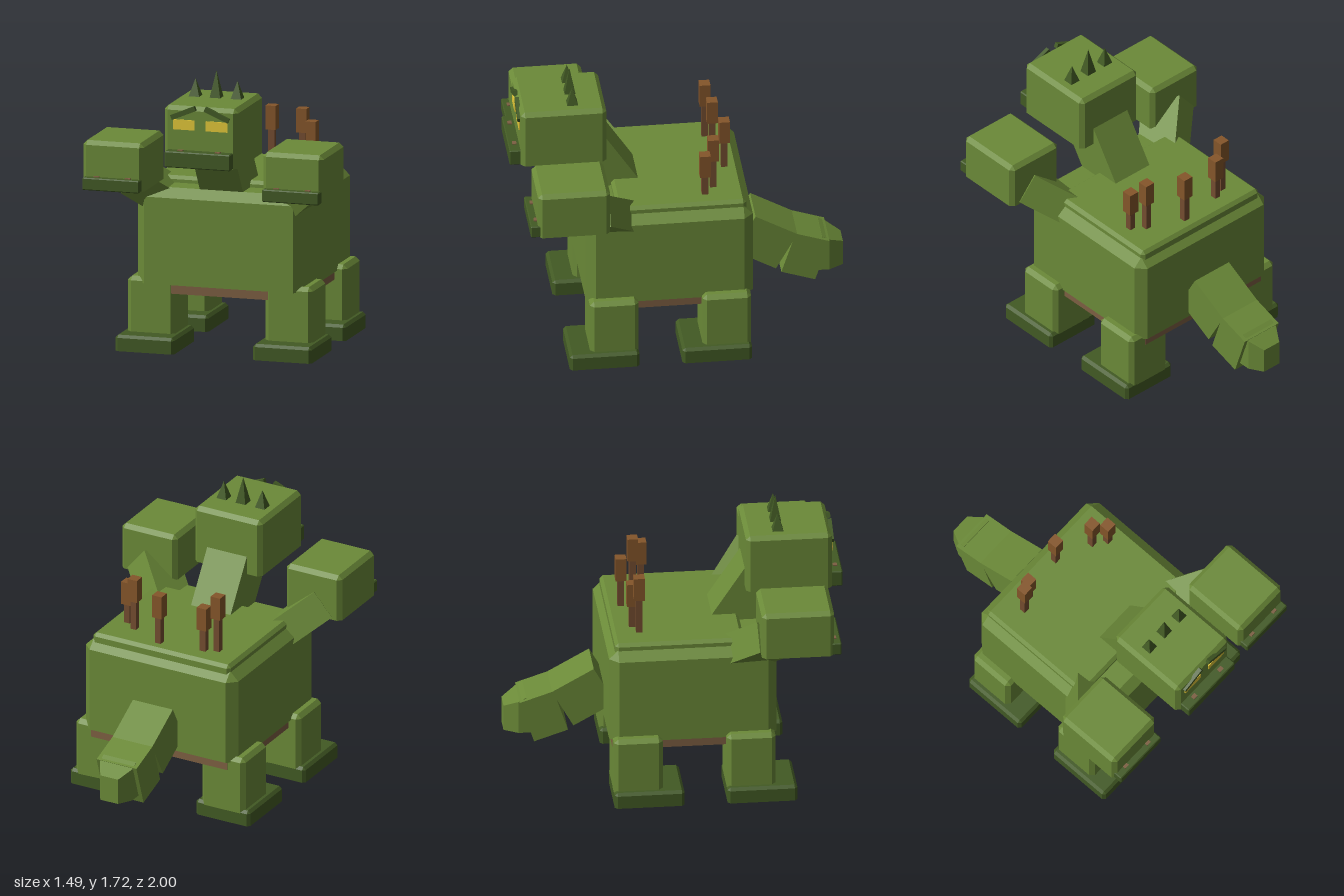
import * as THREE from 'three';
import { ConvexGeometry } from 'three/addons/geometries/ConvexGeometry.js';

const mat = (name, color) => {
  const m = new THREE.MeshStandardMaterial({ color });
  m.name = name;
  return m;
};

export function createModel() {
  const green = mat('skinGreen', 0x6b8a38);
  const dark = mat('darkGreen', 0x425a24);
  const yellow = mat('yellow', 0xe2c838);
  const wood = mat('wood', 0x85562a);
  const stick = mat('darkWood', 0x744d30);
  const bellyBrown = mat('bellyBrown', 0x7d5f42);

  const root = new THREE.Group();
  root.name = 'threeHeadedBeast';

  const add = (parent, name, geo, material, x = 0, y = 0, z = 0) => {
    const m = new THREE.Mesh(geo, material);
    m.name = name;
    m.position.set(x, y, z);
    parent.add(m);
    return m;
  };

  // Box given by its ranges
  const box = (parent, name, material, x0, x1, y0, y1, z0, z1) =>
    add(parent, name, new THREE.BoxGeometry(x1 - x0, y1 - y0, z1 - z0), material,
      (x0 + x1) / 2, (y0 + y1) / 2, (z0 + z1) / 2);

  // Box with chamfered edges; a flat base keeps its lower edges square
  const block = (parent, name, material, x0, x1, y0, y1, z0, z1, c, flatBase = false) => {
    const hx = (x1 - x0) / 2, hy = (y1 - y0) / 2, hz = (z1 - z0) / 2;
    const pts = [];
    for (const sx of [-1, 1]) for (const sy of [-1, 1]) for (const sz of [-1, 1]) {
      const side = flatBase && sy < 0 ? hy : hy - c;
      pts.push(new THREE.Vector3(sx * hx, sy * side, sz * (hz - c)));
      pts.push(new THREE.Vector3(sx * (hx - c), sy * side, sz * hz));
      if (!(flatBase && sy < 0)) pts.push(new THREE.Vector3(sx * (hx - c), sy * hy, sz * (hz - c)));
    }
    return add(parent, name, new ConvexGeometry(pts), material,
      (x0 + x1) / 2, (y0 + y1) / 2, (z0 + z1) / 2);
  };

  // Hollow rim with cut corners, standing on y0
  const rim = (parent, name, material, x0, x1, y0, y1, z0, z1, c, t) => {
    const outline = (w, d, k) => [
      [w - k, -d], [w, k - d], [w, d - k], [w - k, d],
      [k - w, d], [-w, d - k], [-w, k - d], [k - w, -d],
    ].map(([a, b]) => new THREE.Vector2(a, b));
    const w = (x1 - x0) / 2, d = (z1 - z0) / 2;
    const shape = new THREE.Shape(outline(w, d, c));
    shape.holes.push(new THREE.Path(outline(w - t, d - t, c).reverse()));
    const geo = new THREE.ExtrudeGeometry(shape, { depth: y1 - y0, bevelEnabled: false });
    geo.rotateX(-Math.PI / 2);
    return add(parent, name, geo, material, (x0 + x1) / 2, y0, (z0 + z1) / 2);
  };

  // Square beam between two points, its height pointing along up
  const beam = (name, a, b, up, w, h) => {
    const from = new THREE.Vector3(...a), to = new THREE.Vector3(...b);
    const m = add(root, name, new THREE.BoxGeometry(w, h, from.distanceTo(to)), green);
    m.position.copy(from).lerp(to, 0.5);
    m.up.set(...up);
    m.lookAt(to);
    return m;
  };

  // Body as a shell open below, raised back and belly frame
  rim(root, 'bodyWalls', green, -0.516, 0.516, 0.41, 0.9, -0.415, 0.58, 0.055, 0.02);
  block(root, 'bodyTop', green, -0.516, 0.516, 0.9, 0.99, -0.415, 0.58, 0.055, true);
  block(root, 'backPlate', green, -0.465, 0.465, 0.97, 1.03, -0.378, 0.39, 0.02, true);
  rim(root, 'bellyFrame', bellyBrown, -0.5, 0.5, 0.355, 0.411, -0.396, 0.562, 0.04, 0.02);

  // Legs with hollow-soled feet
  for (const s of [-1, 1]) for (const [front, z] of [[true, 0.275], [false, -0.395]]) {
    const leg = new THREE.Group();
    leg.name = (s > 0 ? 'left' : 'right') + (front ? 'FrontLeg' : 'RearLeg');
    root.add(leg);
    const cx = s * 0.426;
    block(leg, 'shin', green, cx - 0.147, cx + 0.147, 0.09, 0.445, z, z + 0.29, 0.025, true);
    rim(leg, 'footRim', dark, cx - 0.182, cx + 0.182, 0.015, 0.08, z, z + 0.415, 0.017, 0.035);
    rim(leg, 'soleLining', green, cx - 0.147, cx + 0.147, 0.02, 0.08, z + 0.035, z + 0.38, 0.017, 0.018);
    block(leg, 'footTop', dark, cx - 0.182, cx + 0.182, 0.08, 0.112, z, z + 0.415, 0.017, true);
  }

  // Heads: skull with hollow underside, jaw and nostrils
  const makeHead = (name, cx, hw, y0, y1, z0, z1, jawW, jawTop, jawZ, nostril) => {
    const head = new THREE.Group();
    head.name = name;
    root.add(head);
    block(head, 'skull', green, cx - hw, cx + hw, y0 + 0.05, y1, z0, z1, 0.025, true);
    rim(head, 'skullRim', green, cx - hw, cx + hw, y0, y0 + 0.05, z0, z1, 0.025, 0.03);
    box(head, 'mouthRoof', dark, cx - hw + 0.028, cx + hw - 0.028, y0 + 0.043, y0 + 0.051, z0 + 0.028, z1 - 0.028);
    block(head, 'jaw', dark, cx - jawW, cx + jawW, y0, jawTop, z1 - 0.02, jawZ, 0.006);
    for (const s of [-1, 1]) {
      const x = cx + s * nostril;
      box(head, 'nostril', bellyBrown, x - 0.016, x + 0.016, jawTop, jawTop + 0.006, jawZ - 0.05, jawZ - 0.025);
    }
    return head;
  };
  const mainHead = makeHead('middleHead', 0, 0.228, 1.215, 1.575, 0.425, 0.935, 0.203, 1.312, 1.0, 0.115);
  for (const s of [-1, 1]) {
    makeHead(s > 0 ? 'leftHead' : 'rightHead', s * 0.557, 0.188, 1.03, 1.32, 0.465, 0.895, 0.176, 1.105, 0.938, 0.097);
  }

  // Face and horns of the middle head
  box(mainHead, 'mouthStrip', yellow, -0.14, 0.14, 1.205, 1.214, 0.9, 0.93);
  for (const s of [-1, 1]) {
    box(mainHead, 'eye', yellow, s * 0.102 - 0.067, s * 0.102 + 0.067, 1.435, 1.495, 0.934, 0.942);
    const brow = add(mainHead, 'brow', new THREE.BoxGeometry(0.16, 0.03, 0.025), dark, s * 0.104, 1.537, 0.938);
    brow.rotation.z = -s * 0.4;
  }
  for (const [x, h] of [[-0.13, 0.11], [0, 0.165], [0.13, 0.11]]) {
    const geo = new THREE.ConeGeometry(0.047, h, 4).toNonIndexed();
    geo.rotateY(Math.PI / 4);
    geo.computeVertexNormals();
    add(mainHead, 'horn', geo, dark, x, 1.572 + h / 2, 0.62);
  }

  // Necks; the outer two lean outward and are rolled
  beam('middleNeck', [0, 0.915, 0.315], [0, 1.288, 0.56], [0, 1, 0], 0.268, 0.27);
  for (const s of [-1, 1]) {
    beam(s > 0 ? 'leftNeck' : 'rightNeck', [s * 0.316, 0.854, 0.323], [s * 0.576, 1.077, 0.558],
      [-0.7 * s, 0.7, -0.1], 0.25, 0.185);
  }

  // Tail in two tilted segments and a tapered tip
  const tail = new THREE.Group();
  tail.name = 'tail';
  root.add(tail);
  for (const [z, y, len, h, tilt] of [[-0.532, 0.524, 0.285, 0.262, 0.51], [-0.768, 0.41, 0.212, 0.272, 0.32]]) {
    const seg = add(tail, 'tailSegment', new THREE.BoxGeometry(0.27, h, len), green, 0, y, z);
    seg.rotation.x = -tilt;
  }
  const tip = [];
  for (const s of [-1, 1]) for (const [x, y, z] of [
    [0.06, 0.295, -1], [0.06, 0.455, -1], [0.11, 0.295, -0.915], [0.11, 0.5, -0.915],
    [0.11, 0.295, -0.84], [0.11, 0.525, -0.87]]) tip.push(new THREE.Vector3(s * x, y, z));
  add(tail, 'tailTip', new ConvexGeometry(tip), green);

  // Reeds growing on the back: x, z, top
  for (const [x, z, top] of [[-0.3, -0.22, 1.39], [-0.225, -0.255, 1.315], [0.055, -0.293, 1.345],
    [0.275, -0.2, 1.36], [0.35, -0.143, 1.298]]) {
    const reed = new THREE.Group();
    reed.name = 'reed';
    root.add(reed);
    box(reed, 'reedStem', stick, x - 0.019, x + 0.019, 1.02, top - 0.14, z - 0.019, z + 0.019);
    box(reed, 'reedHead', wood, x - 0.032, x + 0.032, top - 0.145, top, z - 0.032, z + 0.032);
  }

  return root;
}
